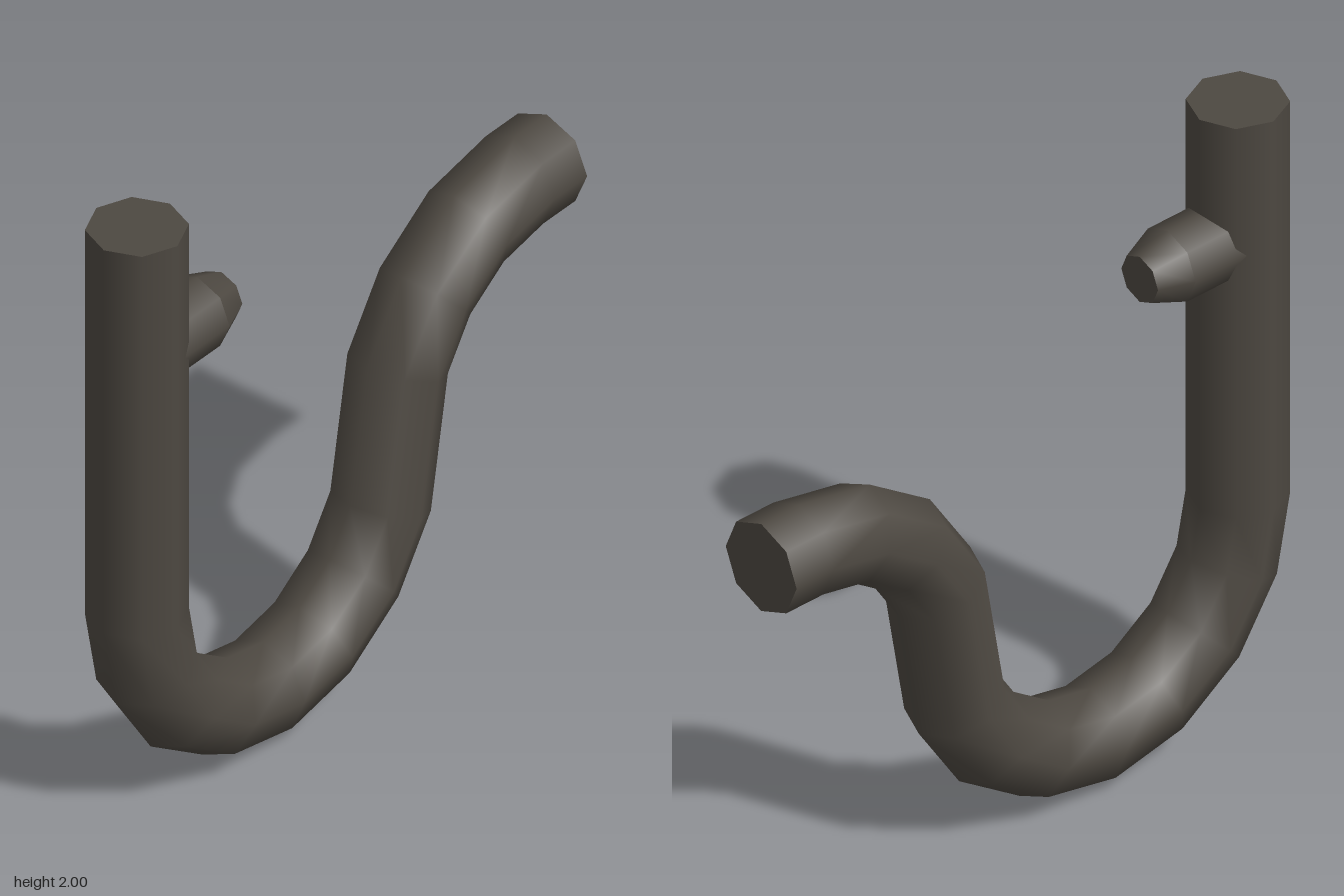
import * as THREE from 'three';

const SIDES = 8;
const PIPE_R = 0.145;
const BEND_R = 0.555;

// Stations along the pipe: centre x, y and heading angle in the xy plane
function pipeStations() {
  const step = Math.PI / 8;
  const stations = [{ x: -0.825, y: 2, h: -Math.PI / 2 }];
  // U bend
  for (let i = 0; i <= 7; i++) {
    const a = Math.PI + step * i;
    stations.push({ x: -0.27 + BEND_R * Math.cos(a), y: 0.7 + BEND_R * Math.sin(a), h: a + Math.PI / 2 });
  }
  // Return bend to horizontal
  for (let i = 7; i >= 4; i--) {
    const a = step * i;
    stations.push({ x: 0.83 + BEND_R * Math.cos(a), y: 0.7 + BEND_R * Math.sin(a), h: a - Math.PI / 2 });
  }
  stations.push({ x: 0.97, y: 1.255, h: 0 });
  return stations;
}

// Smooth-shaded tube wall from octagonal rings
function pipeGeometry() {
  const pos = [], nor = [], idx = [];
  const stations = pipeStations();
  stations.forEach(({ x, y, h }, i) => {
    for (let k = 0; k < SIDES; k++) {
      const t = (k / SIDES) * Math.PI * 2;
      const nx = -Math.sin(h) * Math.cos(t), ny = Math.cos(h) * Math.cos(t), nz = Math.sin(t);
      pos.push(x + PIPE_R * nx, y + PIPE_R * ny, PIPE_R * nz);
      nor.push(nx, ny, nz);
      if (i < stations.length - 1) {
        const a = i * SIDES + k, b = i * SIDES + ((k + 1) % SIDES);
        idx.push(a, b, a + SIDES, b, b + SIDES, a + SIDES);
      }
    }
  });
  const g = new THREE.BufferGeometry();
  g.setAttribute('position', new THREE.Float32BufferAttribute(pos, 3));
  g.setAttribute('normal', new THREE.Float32BufferAttribute(nor, 3));
  g.setIndex(idx);
  return g;
}

export function createModel() {
  const model = new THREE.Group();
  model.name = 'drainTrap';
  const metal = new THREE.MeshStandardMaterial({ color: 0x4d4841 });
  metal.name = 'darkMetal';

  const add = (name, geometry, x = 0, y = 0) => {
    const mesh = new THREE.Mesh(geometry, metal);
    mesh.name = name;
    mesh.position.set(x, y, 0);
    model.add(mesh);
  };

  // Bent pipe and its flat ends
  add('pipe', pipeGeometry());
  add('topCap', new THREE.CircleGeometry(PIPE_R, SIDES).rotateX(-Math.PI / 2), -0.825, 2);
  add('outletCap', new THREE.CircleGeometry(PIPE_R, SIDES).rotateY(Math.PI / 2), 0.97, 1.255);

  // Side spigot: straight barrel, then a tapered tip
  const alongX = (rEnd, rStart, x0, x1, open) =>
    new THREE.CylinderGeometry(rEnd, rStart, x1 - x0, SIDES, 1, open).rotateZ(-Math.PI / 2).translate((x0 + x1) / 2, 0, 0);
  add('spigotBarrel', alongX(0.115, 0.115, -0.8, -0.56, true), 0, 1.57);
  add('spigotTip', alongX(0.075, 0.115, -0.56, -0.455, false), 0, 1.57);

  return model;
}
